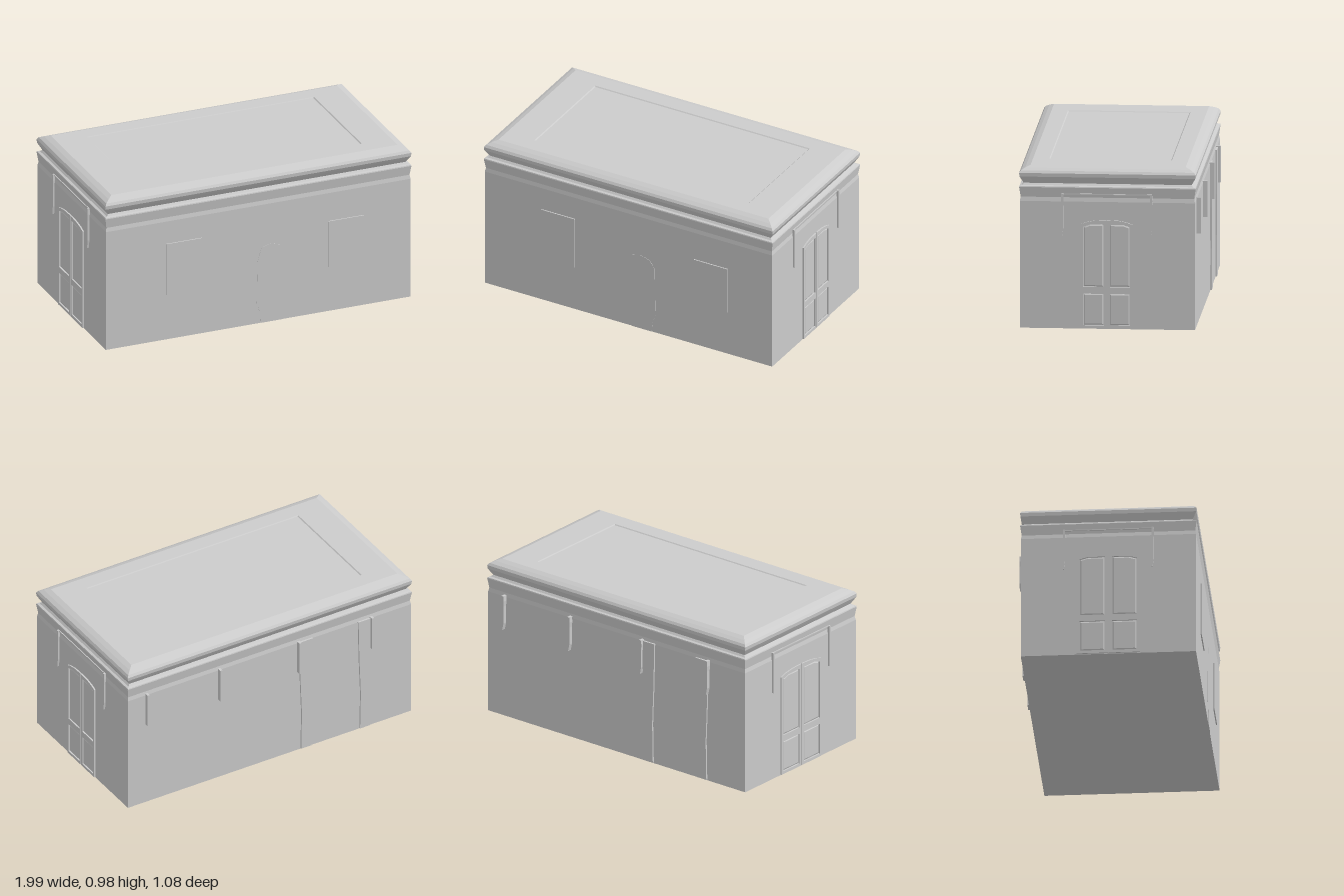
import * as THREE from 'three';

const material = new THREE.MeshStandardMaterial({ color: 0xcccccc, flatShading: true, side: THREE.DoubleSide });

function add(parent, name, geometry, x = 0, y = 0, z = 0) {
  const mesh = new THREE.Mesh(geometry, material);
  mesh.name = name;
  mesh.position.set(x, y, z);
  parent.add(mesh);
  return mesh;
}

const outline = pts => new THREE.Shape(pts.map(p => new THREE.Vector2(...p)));
const slab = (shape, depth) => new THREE.ExtrudeGeometry(shape, { depth, bevelEnabled: false });

// Skin a stack of rectangles given as [half width, half depth, height]
function rectLoft(rings) {
  const corners = [[1, 1], [1, -1], [-1, -1], [-1, 1]];
  const pos = [];
  const at = (r, i) => [corners[i % 4][0] * r[0], r[2], corners[i % 4][1] * r[1]];
  for (let k = 0; k < rings.length - 1; k++) {
    for (let i = 0; i < 4; i++) {
      const a = at(rings[k], i), b = at(rings[k], i + 1);
      const c = at(rings[k + 1], i + 1), d = at(rings[k + 1], i);
      pos.push(...a, ...b, ...c, ...a, ...c, ...d);
    }
  }
  const g = new THREE.BufferGeometry();
  g.setAttribute('position', new THREE.Float32BufferAttribute(pos, 3));
  g.computeVertexNormals();
  return g;
}

// Upper panel has a slanted head; the lower one is square
const panelOutlines = [
  [[0.017, 0.255], [0.14, 0.255], [0.14, 0.62], [0.1, 0.635], [0.017, 0.635]],
  [[0.017, 0.022], [0.14, 0.022], [0.14, 0.215], [0.017, 0.215]],
];

// Double door with arched head, facing +z
function makeDoor() {
  const door = new THREE.Group();
  door.name = 'doubleDoor';
  for (const side of [-1, 1]) {
    const leaf = new THREE.Group();
    leaf.name = 'doorLeaf';
    const flip = pts => pts.map(([x, y]) => [x * side, y]);
    const shape = outline(flip([[0.002, 0.004], [0.154, 0.004], [0.154, 0.635], [0.12, 0.648], [0.07, 0.658], [0.002, 0.661]]));
    for (const pts of panelOutlines) {
      shape.holes.push(new THREE.Path(flip(pts).map(p => new THREE.Vector2(...p))));
      add(leaf, 'doorPanel', new THREE.ExtrudeGeometry(outline(flip(pts)), {
        depth: 0.001, bevelEnabled: true, bevelThickness: 0.004, bevelSize: 0.007, bevelOffset: -0.01, bevelSegments: 1,
      }));
    }
    add(leaf, 'leafFrame', slab(shape, 0.009));
    door.add(leaf);
  }
  return door;
}

// Narrow hanging bracket with a kicked lower end, facing +z
const bracket = (w, h, depth) => slab(outline([
  [-w, 0], [w, 0], [w * 1.3, -h * 0.15], [w, -h * 0.3], [w, -h * 0.8], [-w * 0.2, -h], [-w, -h], [-w, -h * 0.3],
]), depth);

export function createModel() {
  const model = new THREE.Group();
  model.name = 'building';
  const building = new THREE.Group();
  building.name = 'shell';
  building.position.set(-0.005, 0, 0.01);
  model.add(building);

  // Walls, moulded cornice and shallow sunken roof, as [outward offset, height]
  const W = 0.985, D = 0.523;
  const profile = [
    [-D, 0], [0, 0], [0, 0.77], [-0.005, 0.795], [0.004, 0.855], [0.002, 0.861],
    [-0.012, 0.865], [-0.022, 0.876], [-0.008, 0.9], [0.002, 0.918], [0.004, 0.94],
    [-0.006, 0.954], [-0.03, 0.967], [-0.06, 0.978],
  ];
  const rings = profile.map(([o, y]) => [W + o, D + o, y]);
  rings[0] = [0, 0, 0];
  rings.push([0.736, 0.366, 0.978], [0.73, 0.36, 0.973], [0, 0, 0.973]);
  add(building, 'wallsCorniceAndRoof', rectLoft(rings));

  // Front window panels
  for (const [x0, x1, y0, y1] of [[-0.6, -0.37, 0.29, 0.625], [0.445, 0.675, 0.29, 0.588]]) {
    add(model, 'windowPanel', new THREE.BoxGeometry(x1 - x0, y1 - y0, 0.012), (x0 + x1) / 2, (y0 + y1) / 2, 0.534);
  }

  // Arched front doorway, almost flush with the wall
  add(model, 'frontDoorway', slab(outline([
    [0.012, 0], [0.008, 0.06], [-0.015, 0.13], [-0.01, 0.4], [0.015, 0.49], [0.07, 0.51],
    [0.14, 0.49], [0.175, 0.44], [0.18, 0.12], [0.16, 0.06], [0.155, 0],
  ]), 0.006), 0, 0, 0.529);

  // End walls: double door, thin lintel line and a bracket at each end of it
  for (const [side, centre, stretch] of [[1, 0.014, 1], [-1, 0.01, 1.23]]) {
    const end = new THREE.Group();
    end.name = side > 0 ? 'leftEndEntrance' : 'rightEndEntrance';
    end.position.set(side > 0 ? 0.98 : -0.99, 0, centre);
    end.rotation.y = side * Math.PI / 2;
    const door = makeDoor();
    door.scale.x = stretch;
    end.add(door);
    add(end, 'lintel', new THREE.BoxGeometry(0.53, 0.006, 0.008), 0, 0.816, 0);
    for (const s of [-1, 1]) {
      add(end, 'endBracket', bracket(0.006, 0.26, 0.015), s * 0.265, 0.82, -0.003);
    }
    model.add(end);
  }

  // Back wall: brackets under the cornice
  const back = new THREE.Group();
  back.name = 'backWallDetails';
  back.position.z = -0.511;
  back.rotation.y = Math.PI;
  for (const x of [0.85, 0.345, -0.205, -0.71]) {
    add(back, 'backBracket', bracket(0.008, 0.22, 0.028), -x, 0.782, 0);
  }
  // Two slightly tapered flat pilasters
  for (const x of [-0.255, -0.665]) {
    add(back, 'backPilaster', slab(outline([
      [-0.035, 0], [0.035, 0], [0.03, 0.25], [0.04, 0.5], [0.046, 0.77], [-0.046, 0.77], [-0.04, 0.5], [-0.03, 0.25],
    ]), 0.012), -x, 0.005, 0);
  }
  model.add(back);
  return model;
}
